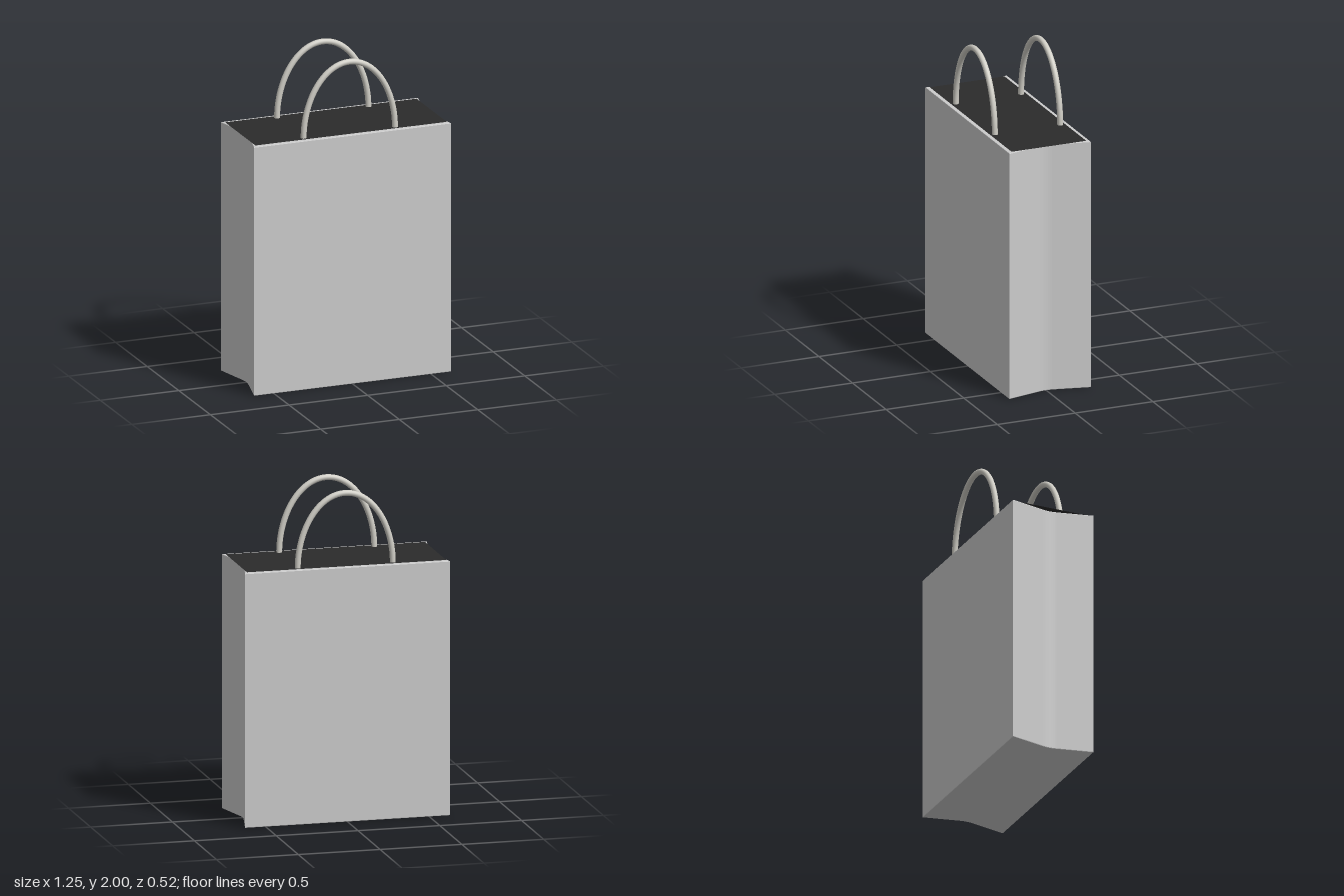
import * as THREE from 'three';

const W = 0.627, D = 0.262, H = 1.543; // half width, half depth, height of the bag
const FOLD = 0.06; // how far the side gussets fold inwards

const paper = new THREE.MeshStandardMaterial({ color: 0xcccccc });
const cord = new THREE.MeshStandardMaterial({ color: 0xd0cec6 });
const dark = new THREE.MeshStandardMaterial({ color: 0x2b2b2b, side: THREE.DoubleSide });

function add(group, name, geometry, material) {
  const mesh = new THREE.Mesh(geometry, material);
  mesh.name = name;
  group.add(mesh);
  return mesh;
}

// Bag outline seen from above: straight panels, sides creased inwards
function bodyGeometry() {
  const r = 0.045, xr = W - FOLD * (1 - r / D); // soft crease in the gusset
  const s = new THREE.Shape();
  s.moveTo(-W, -D);
  s.lineTo(W, -D);
  s.lineTo(xr, -r);
  s.quadraticCurveTo(W - FOLD, 0, xr, r);
  s.lineTo(W, D);
  s.lineTo(-W, D);
  s.lineTo(-xr, r);
  s.quadraticCurveTo(-W + FOLD, 0, -xr, -r);
  s.closePath();
  const b = 0.004;
  const g = new THREE.ExtrudeGeometry(s, {
    depth: H - 2 * b, curveSegments: 8,
    bevelEnabled: true, bevelThickness: b, bevelSize: b, bevelOffset: -b, bevelSegments: 2,
  });
  g.rotateX(-Math.PI / 2);
  g.translate(0, b, 0);
  return g;
}

// Half-ellipse cord handle
function handleGeometry() {
  const r = 0.0175, rx = 0.291, y0 = H - 0.005, ry = 2 - r - y0;
  const pts = [];
  for (let i = 0; i <= 24; i++) {
    const a = (Math.PI * i) / 24;
    pts.push(new THREE.Vector3(rx * Math.cos(a), y0 + ry * Math.sin(a), 0));
  }
  return new THREE.TubeGeometry(new THREE.CatmullRomCurve3(pts), 64, r, 16, false);
}

export function createModel() {
  const bag = new THREE.Group();
  bag.name = 'paperBag';

  add(bag, 'body', bodyGeometry(), paper);

  // Dark sheet that fills the mouth and spans the folded sides
  const opening = new THREE.PlaneGeometry(1.218, 0.48);
  opening.rotateX(-Math.PI / 2);
  add(bag, 'opening', opening, dark).position.y = H + 0.002;

  // One handle by each panel
  const handle = handleGeometry();
  add(bag, 'frontHandle', handle, cord).position.z = 0.21;
  add(bag, 'backHandle', handle, cord).position.z = -0.21;

  return bag;
}
